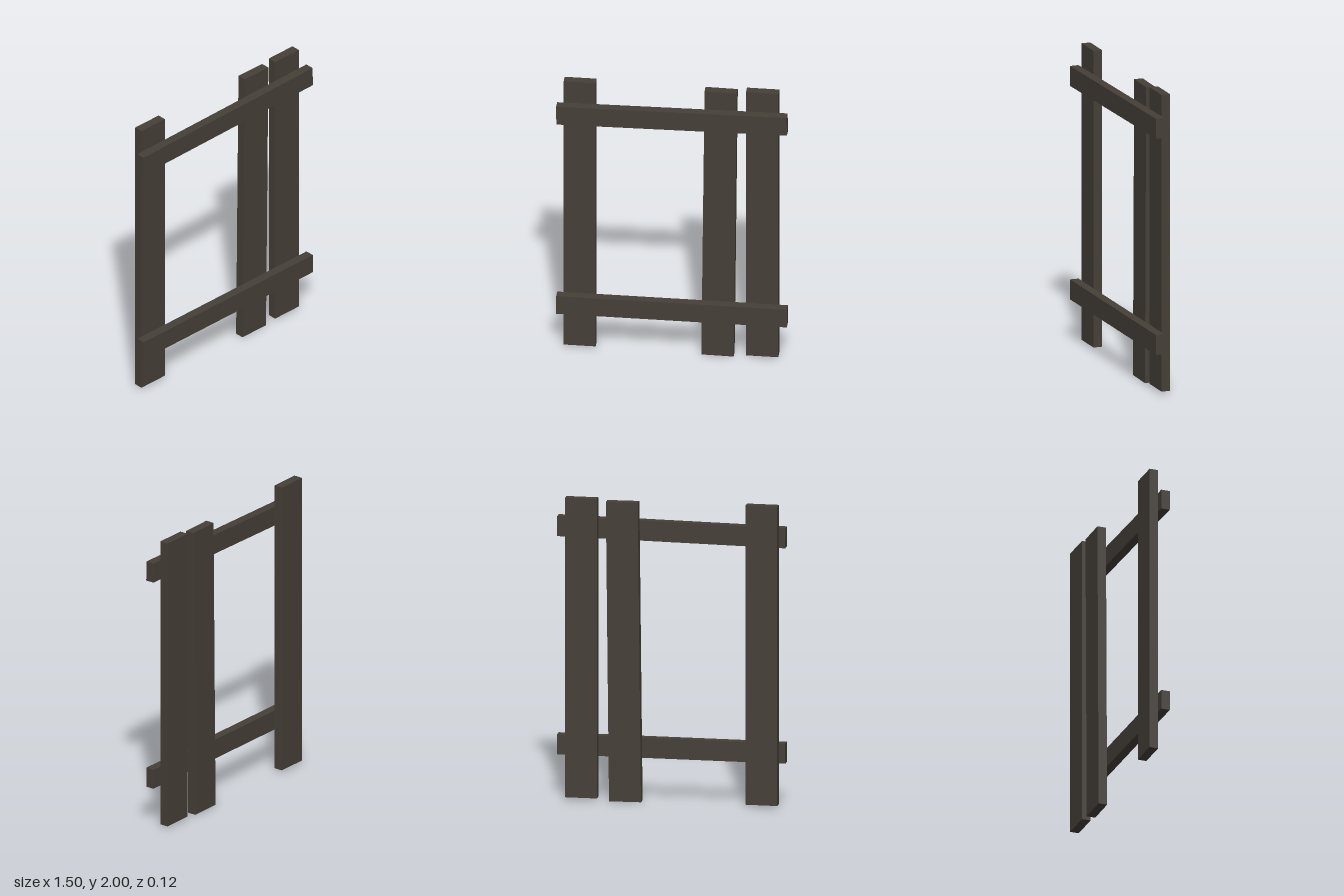
import * as THREE from 'three';

export function createModel() {
  const group = new THREE.Group();
  const wood = new THREE.MeshStandardMaterial({ color: 0x453f37 });
  wood.name = 'dark weathered wood';

  // One flat plank, optionally tilted in the fence plane
  const plank = (name, w, h, x, y, z, tilt = 0) => {
    const mesh = new THREE.Mesh(new THREE.BoxGeometry(w, h, 0.059), wood);
    mesh.name = name;
    mesh.position.set(x, y, z);
    mesh.rotation.z = tilt;
    group.add(mesh);
  };

  // Upright pickets at the back; one leans slightly
  const back = -0.0325;
  plank('rightPicket', 0.208, 1.984, -0.605, 1.008, back);
  plank('leaningPicket', 0.21, 1.984, 0.302, 0.994, back, -0.0105);
  plank('leftPicket', 0.21, 1.984, 0.582, 1.008, back);

  // Cross rails on the front; the upper one is slightly crooked
  const front = 0.0325;
  plank('lowerRail', 1.5, 0.133, 0, 0.35, front);
  plank('upperRail', 1.5, 0.133, 0, 1.787, front, 0.0125);

  return group;
}
